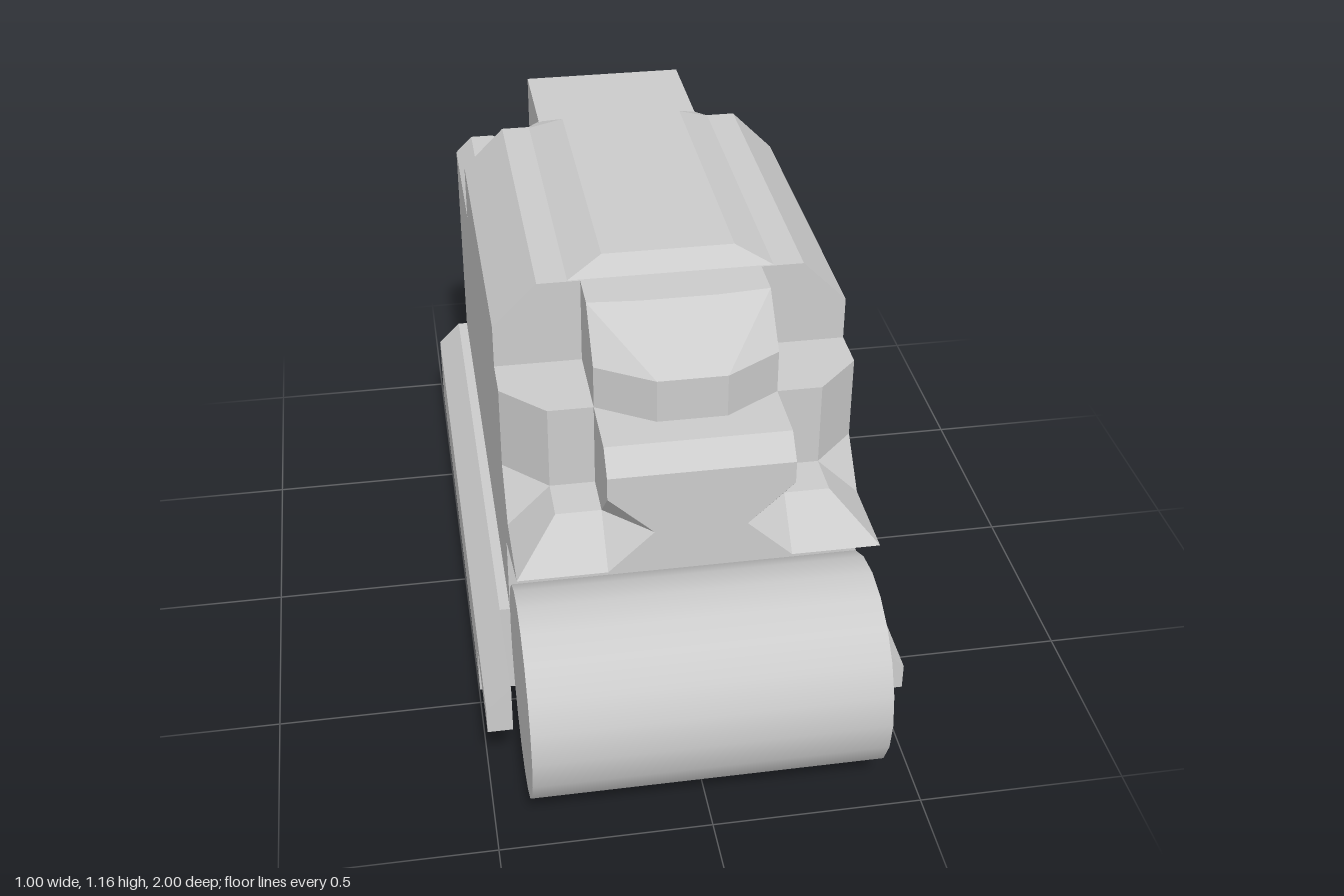
import * as THREE from 'three';
import { ConvexGeometry } from 'three/addons/geometries/ConvexGeometry.js';

export function createModel() {
  const model = new THREE.Group();
  const flat = new THREE.MeshStandardMaterial({ color: 0xcccccc, flatShading: true });
  const smooth = new THREE.MeshStandardMaterial({ color: 0xcccccc });

  const add = (name, geometry, material = flat) => {
    const mesh = new THREE.Mesh(geometry, material);
    mesh.name = name;
    model.add(mesh);
    return mesh;
  };

  const extrude = (points, depth) => new THREE.ExtrudeGeometry(
    new THREE.Shape(points.map(([x, y]) => new THREE.Vector2(x, y))),
    { depth, bevelEnabled: false });

  // Prism along z from the right half of a symmetric cross-section, listed bottom to top
  const hullPart = (name, half, z0, z1) => {
    const other = half.map(([x, y]) => [-x, y]).reverse();
    return add(name, extrude([...half, ...other], z1 - z0).translate(0, 0, z0));
  };

  const convex = (name, corners) =>
    add(name, new ConvexGeometry(corners.map((c) => new THREE.Vector3(...c))));

  // One convex solid spanning the centre line, given by its left corners
  const solid = (name, corners) =>
    convex(name, corners.flatMap(([x, y, z]) => [[x, y, z], [-x, y, z]]));

  // A convex solid on each side
  const pair = (name, corners) => [1, -1].forEach((side) =>
    convex(name, corners.map(([x, y, z]) => [x * side, y, z])));

  // Lower hull with side skirts: thin end walls and a hollow, open underside
  const skirt = [[0.5, 0.045], [0.5, 0.235], [0.44, 0.295], [0.415, 0.295], [0.415, 0.5]];
  const endWall = [[0.23, 0.11], [0.29, 0.045], ...skirt];
  const hollow = [[0.23, 0.49], [0.23, 0.285], [0.43, 0.285], [0.488, 0.23], [0.488, 0.045], ...skirt];
  hullPart('hullBackWall', endWall, -0.872, -0.86);
  hullPart('hullSkirts', hollow, -0.86, 0.49);
  hullPart('hullFrontWall', endWall, 0.49, 0.502);

  // Upper hull: full-height middle and a lower rear deck
  hullPart('upperHull', [[0.415, 0.5], [0.415, 1.02], [0.31, 1.125]], -0.46, 0.375);
  hullPart('rearDeck', [[0.415, 0.5], [0.415, 0.87], [0.37, 0.915]], -0.775, -0.46);

  // Back end of the deck, cut by a notch either side of the centre
  solid('deckBackCentre', [
    [0.21, 0.5, -0.775], [0.21, 0.915, -0.775], [0.21, 0.5, -0.872],
    [0.21, 0.815, -0.872], [0.11, 0.92, -0.872],
  ]);
  pair('deckBackSide', [
    [0.21, 0.5, -0.775], [0.415, 0.5, -0.775], [0.415, 0.87, -0.775], [0.37, 0.915, -0.775],
    [0.21, 0.915, -0.775], [0.21, 0.5, -0.872], [0.415, 0.5, -0.872], [0.415, 0.87, -0.872],
    [0.37, 0.915, -0.872], [0.31, 0.915, -0.872], [0.21, 0.815, -0.872],
  ]);

  // Central rear housing with a sloped back edge
  solid('rearHousing', [
    [0.21, 0.9, -0.44], [0.21, 1.125, -0.44], [0.21, 1.125, -0.775],
    [0.21, 0.9, -0.775], [0.13, 1.03, -0.872], [0.11, 0.915, -0.872],
  ]);

  // Raised hood panel
  solid('hood', [
    [0.25, 1.12, 0.375], [0.25, 1.12, -0.46], [0.21, 1.12, -0.5],
    [0.155, 1.165, 0.33], [0.155, 1.165, -0.41],
  ]);

  // Bowed front of the cab
  solid('cabFront', [
    [0.21, 0.9, 0.36], [0.21, 1.125, 0.36], [0.21, 1.125, 0.475], [0.09, 1.125, 0.485],
    [0.21, 1.02, 0.58], [0.08, 1.02, 0.66], [0.21, 0.9, 0.58], [0.08, 0.9, 0.66],
  ]);

  // Shoulders with chamfered front corners, extruded upward from their plan
  const plan = [[0.415, 0.37], [0.415, 0.48], [0.315, 0.58]];
  const shoulders = extrude([...plan, ...plan.map(([x, z]) => [-x, z]).reverse()], 0.205);
  add('shoulders', shoulders.rotateX(Math.PI / 2).translate(0, 0.915, 0));

  // Nose, pinched at mid height by a notch in each front corner
  const waist = [[0.105, 0.71, 0.79], [0.21, 0.71, 0.69], [0.21, 0.71, 0.37]];
  solid('noseTop', [
    ...waist, [0.21, 0.81, 0.79], [0.21, 0.865, 0.79], [0.21, 0.915, 0.74], [0.21, 0.915, 0.37],
  ]);
  solid('noseBottom', [
    ...waist, [0.21, 0.61, 0.79], [0.21, 0.5, 0.5], [0.21, 0.5, 0.37],
  ]);

  // Flared lips beside the nose, above the roller
  pair('frontLip', [
    [0.2, 0.71, 0.69], [0.315, 0.71, 0.69], [0.2, 0.71, 0.58], [0.315, 0.71, 0.58],
    [0.21, 0.61, 0.79], [0.415, 0.61, 0.79], [0.415, 0.61, 0.58],
    [0.21, 0.53, 0.58], [0.415, 0.53, 0.58],
  ]);
  pair('lipRoot', [
    [0.2, 0.71, 0.58], [0.315, 0.71, 0.58], [0.415, 0.71, 0.48], [0.415, 0.61, 0.58],
    [0.2, 0.53, 0.58], [0.415, 0.53, 0.58], [0.2, 0.5, 0.5], [0.415, 0.5, 0.5],
    [0.2, 0.5, 0.37], [0.415, 0.5, 0.37], [0.2, 0.71, 0.37], [0.415, 0.71, 0.37],
  ]);

  // Arms beside the roller
  pair('rollerArm', [0.49, 0.79].flatMap((z) => [
    [0.44, 0.17, z], [0.5, 0.17, z], [0.5, 0.235, z], [0.44, 0.295, z],
  ]));

  // Front roller
  const roller = new THREE.CylinderGeometry(0.25, 0.25, 0.83, 20).rotateZ(Math.PI / 2);
  add('roller', roller, smooth).position.set(0, 0.25, 0.75);

  // Bevelled box on the back
  solid('rearBox', [
    [0.21, 0.295, -0.865], [0.21, 0.715, -0.865], [0.21, 0.295, -0.937], [0.21, 0.715, -0.937],
    [0.147, 0.358, -1], [0.147, 0.652, -1],
  ]);

  return model;
}
